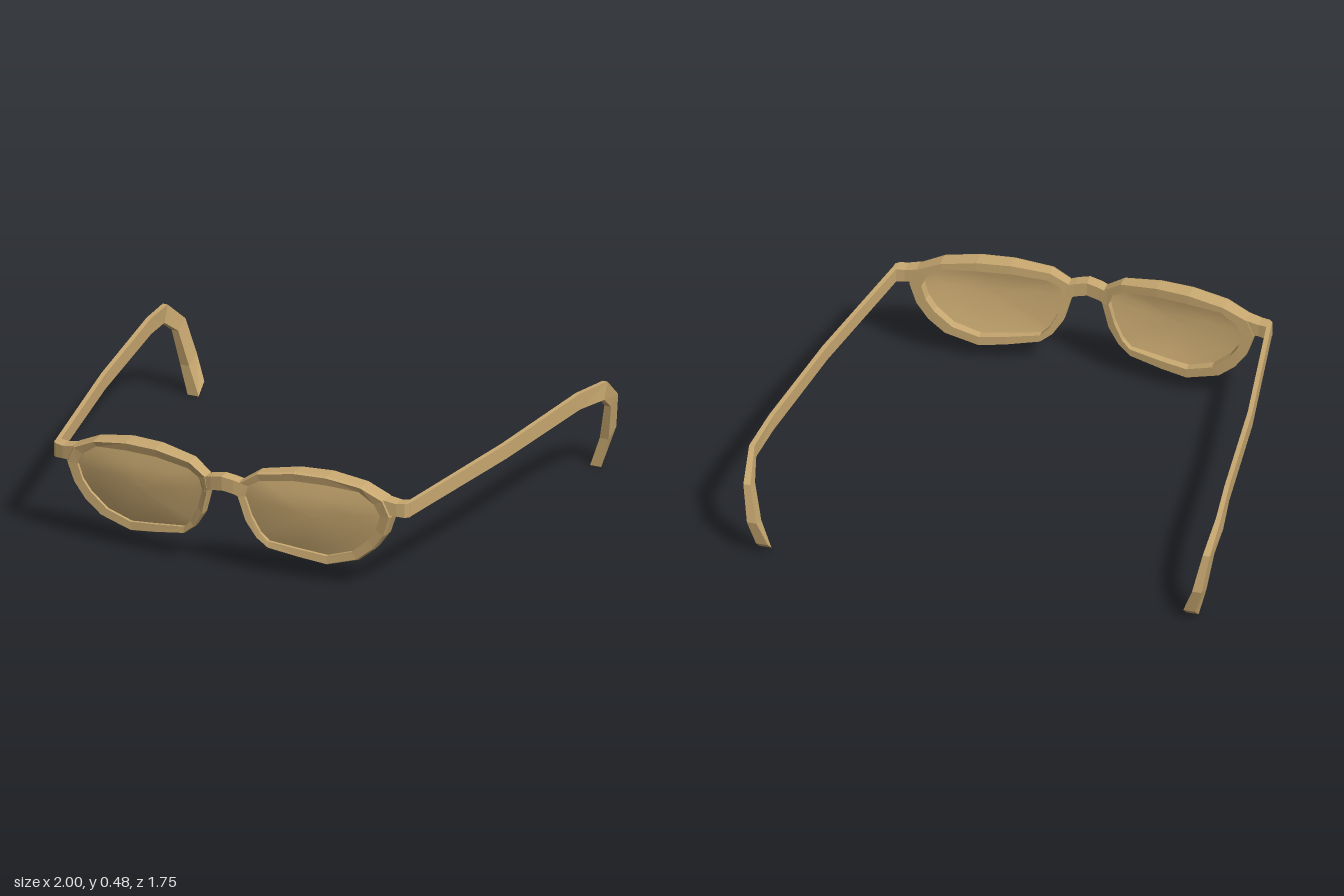
import * as THREE from 'three';

const COLOR = 0xc8a870;
const frameMat = new THREE.MeshStandardMaterial({ color: COLOR, flatShading: true });
const lensMat = new THREE.MeshStandardMaterial({ color: COLOR, side: THREE.DoubleSide });

// Joins equal-sized rings of points into a solid; the winding is set from the signed volume.
function loft(rings, loop = false) {
  const n = rings[0].length, m = rings.length, tris = [];
  for (let i = 0; i < (loop ? m : m - 1); i++) {
    const a = rings[i], b = rings[(i + 1) % m];
    for (let j = 0; j < n; j++) {
      const k = (j + 1) % n;
      tris.push([a[j], a[k], b[k]], [a[j], b[k], b[j]]);
    }
  }
  if (!loop) {
    const a = rings[0], b = rings[m - 1];
    for (let j = 1; j < n - 1; j++) tris.push([a[0], a[j + 1], a[j]], [b[0], b[j], b[j + 1]]);
  }
  const vec = (p) => new THREE.Vector3(...p);
  const volume = tris.reduce((s, t) => s + vec(t[0]).dot(vec(t[1]).cross(vec(t[2]))), 0);
  if (volume < 0) tris.forEach((t) => t.reverse());
  const geo = new THREE.BufferGeometry();
  geo.setAttribute('position', new THREE.Float32BufferAttribute(tris.flat(2), 3));
  geo.computeVertexNormals();
  return geo;
}

// Rim outline: outer x, y then inner x, y
const RIM = [
  [0.065, 0.34, 0.095, 0.34], [0.075, 0.405, 0.11, 0.39], [0.15, 0.455, 0.16, 0.42],
  [0.31, 0.48, 0.31, 0.44], [0.45, 0.48, 0.45, 0.44], [0.6, 0.455, 0.59, 0.43],
  [0.7, 0.41, 0.655, 0.385], [0.73, 0.34, 0.68, 0.335], [0.7, 0.25, 0.66, 0.27],
  [0.65, 0.18, 0.625, 0.22], [0.58, 0.122, 0.55, 0.155], [0.44, 0.08, 0.44, 0.12],
  [0.33, 0.095, 0.33, 0.132], [0.19, 0.12, 0.19, 0.15], [0.14, 0.16, 0.155, 0.185],
  [0.095, 0.23, 0.12, 0.255],
];

// Front and back surfaces of the swept-back face
const frontZ = (x, y) => 0.873 - 0.085 * x - 0.1 * Math.max(0, 0.35 - y);
const backZ = (x) => 0.74 + 0.09 * (1 - x / 0.73) ** 2;

function rimGeometry(s) {
  return loft(RIM.map(([ox, oy, ix, iy]) => {
    // front edge of the outside is drawn in slightly
    const fx = ox + (ix - ox) * 0.15, fy = oy + (iy - oy) * 0.15;
    return [
      [s * ox, oy, backZ(ox)],
      [s * ox, oy, frontZ(ox, oy) - 0.012],
      [s * fx, fy, frontZ(ox, oy)],
      [s * ix, iy, frontZ(ix, iy) - 0.008],
      [s * ix, iy, backZ(ix)],
    ];
  }), true);
}

// Gently domed lens made of shrinking copies of the inner outline
function lensGeometry(s) {
  const cx = 0.39, cy = 0.29, steps = 5, n = RIM.length, pos = [], idx = [];
  for (let i = 0; i <= steps; i++) {
    const t = 1 - i / steps;
    for (const [, , ix, iy] of RIM) {
      const x = cx + (ix - cx) * t, y = cy + (iy - cy) * t;
      pos.push(s * x, y, frontZ(x, y) - 0.022 + 0.018 * (1 - t * t));
    }
  }
  for (let i = 0; i < steps; i++) for (let j = 0; j < n; j++) {
    const a = i * n + j, b = i * n + (j + 1) % n, c = a + n, d = b + n;
    idx.push(...(s > 0 ? [a, c, b, b, c, d] : [a, b, c, b, d, c]));
  }
  const geo = new THREE.BufferGeometry();
  geo.setAttribute('position', new THREE.Float32BufferAttribute(pos, 3));
  geo.setIndex(idx);
  geo.computeVertexNormals();
  return geo;
}

// Temple stations: outer x, thickness, upper z, y, lower z, y
const TEMPLE = [
  [0.8, 0.02, 0.76, 0.402, 0.76, 0.341], [0.91, 0.02, 0.08, 0.425, 0.08, 0.36],
  [0.975, 0.02, -0.5, 0.445, -0.5, 0.375], [1, 0.022, -0.71, 0.425, -0.68, 0.355],
  [0.988, 0.03, -0.84, 0.32, -0.77, 0.29], [0.963, 0.04, -0.875, 0.16, -0.8, 0.13],
  [0.93, 0.05, -0.855, 0.05, -0.8, 0.003],
];

const templeGeometry = (s) => loft(TEMPLE.map(([x, w, uz, uy, lz, ly]) => [
  [s * x, uy, uz], [s * (x - w), uy, uz], [s * (x - w), ly, lz], [s * x, ly, lz],
]));

// Rectangular section across x: x, low y, high y, back z, front z
const barSection = ([x, y0, y1, z0, z1]) => [[x, y0, z0], [x, y1, z0], [x, y1, z1], [x, y0, z1]];

export function createModel() {
  const group = new THREE.Group();
  const add = (name, geo, mat = frameMat) => {
    const mesh = new THREE.Mesh(geo, mat);
    mesh.name = name;
    group.add(mesh);
  };

  // Arched nose bridge
  add('bridge', loft([
    [-0.085, 0.335, 0.4, 0.81, 0.862], [-0.05, 0.35, 0.41, 0.815, 0.87], [0, 0.36, 0.42, 0.82, 0.875],
    [0.05, 0.35, 0.41, 0.815, 0.87], [0.085, 0.335, 0.4, 0.81, 0.862],
  ].map(barSection)));

  for (const [side, s] of [['left', 1], ['right', -1]]) {
    add(side + 'Rim', rimGeometry(s));
    add(side + 'Lens', lensGeometry(s), lensMat);
    add(side + 'Temple', templeGeometry(s));
    // End piece joining rim and temple
    add(side + 'EndPiece', loft([
      [s * 0.695, 0.345, 0.41, 0.745, 0.808], [s * 0.75, 0.345, 0.4, 0.742, 0.8],
      [s * 0.785, 0.341, 0.402, 0.735, 0.79], [s * 0.8, 0.341, 0.402, 0.735, 0.775],
    ].map(barSection)));
  }
  return group;
}
